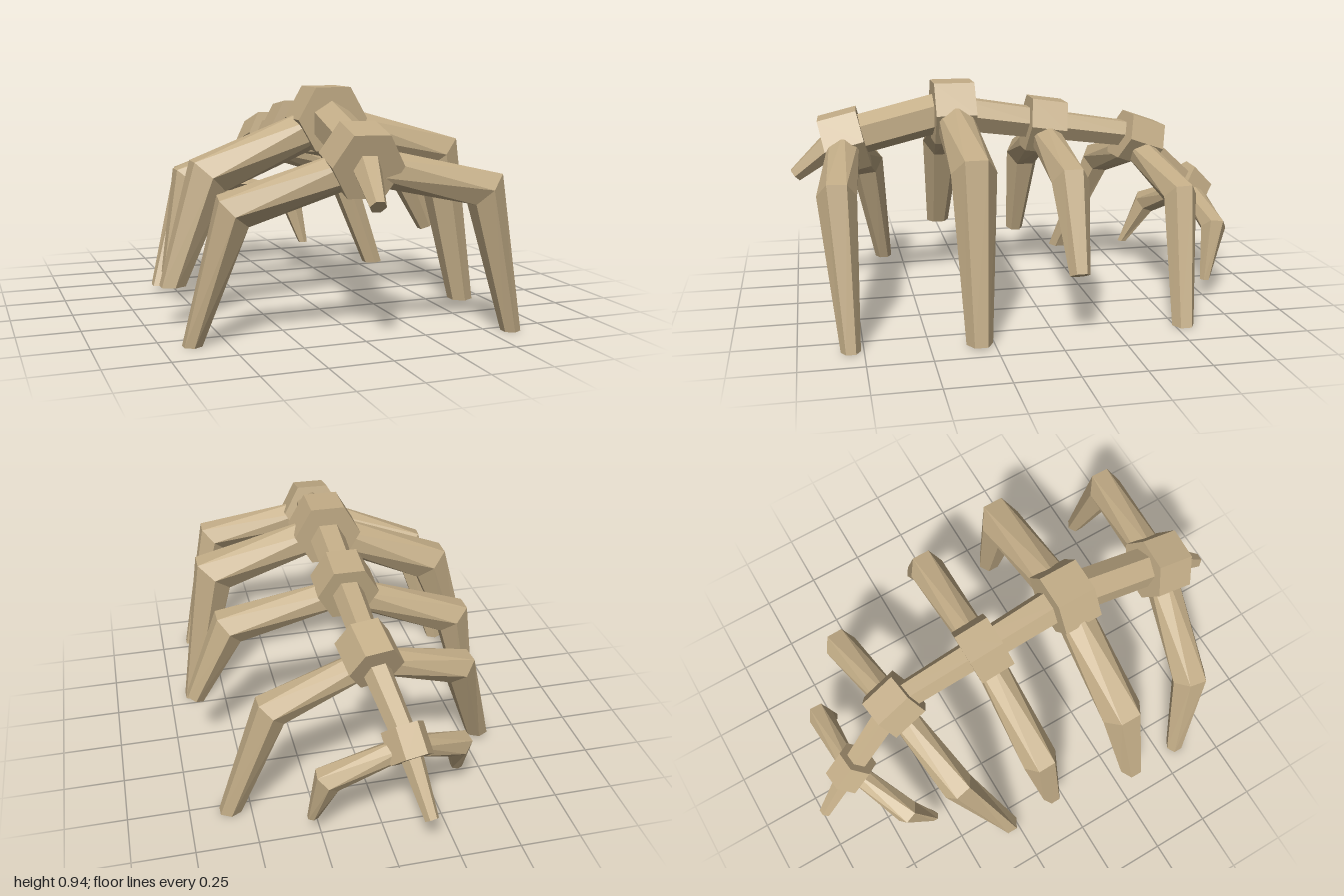
import * as THREE from 'three';

const SIDES = 6;

// Flat-faced six-sided tube through [x, y, z, radius] stations, mitred at bends.
// ref sets which way the corner ridges point; startTwist turns the first ring,
// levelEnd cuts the last ring horizontally.
function hexTube(stations, ref, startTwist = 0, levelEnd = false) {
  const pts = stations.map(s => new THREE.Vector3(s[0], s[1], s[2]));
  const last = pts.length - 1;
  const rings = pts.map((p, i) => {
    const into = pts[Math.max(i, 1)].clone().sub(pts[Math.max(i, 1) - 1]).normalize();
    const out = pts[Math.min(i + 1, last)].clone().sub(pts[Math.min(i, last - 1)]).normalize();
    const t = into.clone().add(out).normalize();
    if (levelEnd && i === last) t.set(0, -1, 0);
    const miter = 1 / Math.max(0.6, t.dot(into));
    const u = ref.clone().addScaledVector(t, -ref.dot(t)).normalize();
    const v = t.clone().cross(u);
    const r = stations[i][3];
    const twist = i === 0 ? startTwist : 0;
    return Array.from({ length: SIDES }, (_, k) => {
      const a = (k / SIDES) * Math.PI * 2 + twist;
      return p.clone().addScaledVector(u, r * Math.cos(a)).addScaledVector(v, r * Math.sin(a) * miter);
    });
  });
  const verts = [];
  const tri = (...corners) => corners.forEach(c => verts.push(c.x, c.y, c.z));
  for (let k = 0; k < SIDES; k++) {
    const n = (k + 1) % SIDES;
    for (let i = 0; i < last; i++) {
      tri(rings[i][k], rings[i][n], rings[i + 1][n]);
      tri(rings[i][k], rings[i + 1][n], rings[i + 1][k]);
    }
    tri(pts[0], rings[0][n], rings[0][k]);
    tri(pts[last], rings[last][k], rings[last][n]);
  }
  const geo = new THREE.BufferGeometry();
  geo.setAttribute('position', new THREE.Float32BufferAttribute(verts, 3));
  geo.computeVertexNormals();
  return geo;
}

export function createModel() {
  const group = new THREE.Group();
  group.name = 'ribcage';
  const bone = new THREE.MeshStandardMaterial({ color: 0xc3ad87 });
  bone.name = 'bone';
  const X = new THREE.Vector3(1, 0, 0);
  const Y = new THREE.Vector3(0, 1, 0);
  const Z = new THREE.Vector3(0, 0, 1);
  const add = (name, geometry) => {
    const mesh = new THREE.Mesh(geometry, bone);
    mesh.name = name;
    group.add(mesh);
  };

  // Front to back: vertebra centre, forward axis, radius, length,
  // rib root height and radii (root, elbow, tip), then elbow and tip of each rib
  const vertebrae = [
    { at: [-0.035, 0.698, 0.772], axis: [-0.05, -0.25, 1], r: 0.14, len: 0.165, rootY: 0.68, radii: [0.072, 0.077, 0.038],
      left: [[0.45, 0.575, 0.825], [0.595, 0, 0.80]], right: [[-0.495, 0.515, 0.66], [-0.635, 0, 0.585]] },
    { at: [0, 0.817, 0.315], axis: [0, 0, 1], r: 0.147, len: 0.17, rootY: 0.80, radii: [0.08, 0.09, 0.052],
      left: [[0.512, 0.655, 0.305], [0.635, 0.008, 0.31]], right: [[-0.495, 0.6, 0.30], [-0.645, 0.168, 0.31]] },
    { at: [0, 0.745, -0.083], axis: [0, 0.15, 1], r: 0.13, len: 0.155, rootY: 0.708, radii: [0.066, 0.077, 0.041],
      left: [[0.50, 0.60, -0.08], [0.66, 0.265, -0.08]], right: [[-0.48, 0.53, -0.09], [-0.57, 0.13, -0.065]] },
    { at: [0, 0.665, -0.508], axis: [0.15, 0.36, 1], r: 0.115, len: 0.165, rootY: 0.63, radii: [0.06, 0.07, 0.046],
      left: [[0.41, 0.50, -0.57], [0.585, 0.002, -0.535]], right: [[-0.40, 0.50, -0.44], [-0.56, 0.03, -0.29]] },
    { at: [-0.08, 0.422, -0.79], axis: [0.2, 1, 1], r: 0.088, len: 0.13, rootY: 0.41, radii: [0.045, 0.055, 0.022],
      left: [[0.235, 0.305, -0.795], [0.283, 0.085, -0.745]], right: [[-0.335, 0.285, -0.67], [-0.37, 0.085, -0.57]] },
  ];

  vertebrae.forEach((v, i) => {
    // Hexagonal vertebra block
    const c = new THREE.Vector3(...v.at);
    const half = new THREE.Vector3(...v.axis).setLength(v.len / 2);
    const back = c.clone().sub(half), front = c.clone().add(half);
    add('vertebra' + (i + 1), hexTube([[...back, v.r], [...front, v.r]], X));

    // Bent ribs with a ridge on top at the root; the short middle pair has slanted tips
    for (const side of ['left', 'right']) {
      const [elbow, tip] = v[side];
      add(side + 'Rib' + (i + 1), hexTube([
        [v.at[0], v.rootY, v.at[2], v.radii[0]],
        [...elbow, v.radii[1]],
        [...tip, v.radii[2]],
      ], Z, Math.PI / 6, i !== 2));
    }
  });

  // Spine links between the vertebrae, ends from back to front
  const links = [
    [[0, 0.825, 0.315, 0.085], [-0.03, 0.71, 0.77, 0.085], Y],
    [[0, 0.75, -0.083, 0.072], [0, 0.81, 0.315, 0.08], X],
    [[0, 0.685, -0.508, 0.06], [0, 0.748, -0.083, 0.068], X],
    [[-0.08, 0.425, -0.79, 0.05], [0, 0.665, -0.508, 0.06], X],
  ];
  links.forEach(([back, front, ref], i) => add('spineLink' + (i + 1), hexTube([back, front], ref)));

  // Tapered spurs at both ends of the spine
  add('neckSpur', hexTube([[-0.04, 0.69, 0.82, 0.06], [-0.06, 0.555, 0.982, 0.032]], X));
  add('tailSpur', hexTube([[-0.08, 0.425, -0.79, 0.05], [-0.13, 0.193, -0.98, 0.028]], X));

  return group;
}
